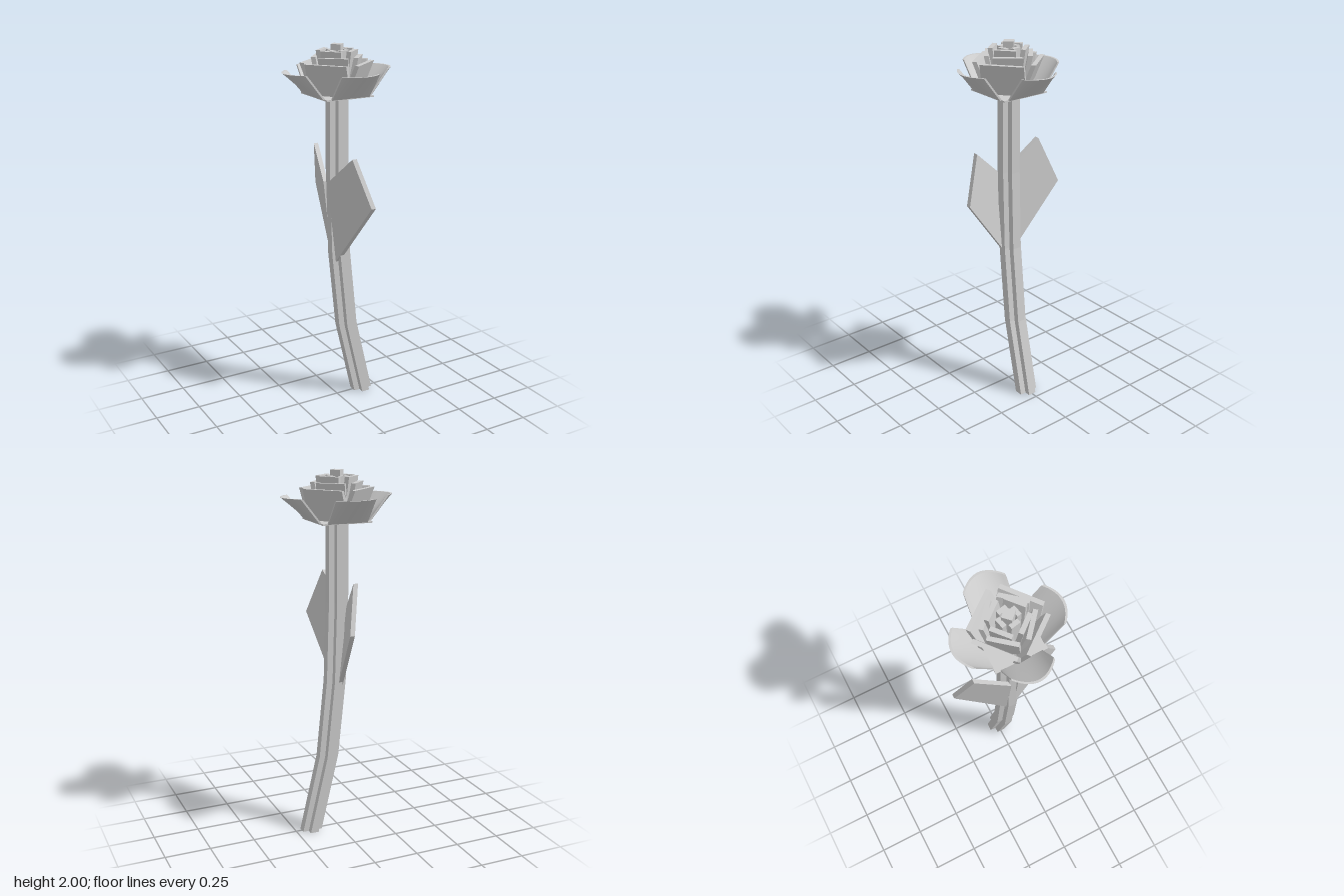
import * as THREE from 'three';

const material = new THREE.MeshStandardMaterial({ color: 0xcccccc, flatShading: true });
const smooth = new THREE.MeshStandardMaterial({ color: 0xcccccc });
const BASE = 1.74; // height where the bloom starts

function addMesh(parent, name, geometry, mat = material) {
  const mesh = new THREE.Mesh(geometry, mat);
  mesh.name = name;
  parent.add(mesh);
  return mesh;
}

function polygon(points) {
  return new THREE.Shape(points.map(([x, y]) => new THREE.Vector2(x, y)));
}

// Move every vertex of a geometry by a rule
function warp(geometry, rule) {
  const p = geometry.attributes.position;
  const v = new THREE.Vector3();
  for (let i = 0; i < p.count; i++) {
    rule(v.fromBufferAttribute(p, i));
    p.setXYZ(i, v.x, v.y, v.z);
  }
  geometry.computeVertexNormals();
  return geometry;
}

// Cross-shaped stem, bent sideways towards the foot
function stem() {
  const a = 0.056, b = 0.023;
  const cross = polygon([[a, -b], [a, b], [b, b], [b, a], [-b, a], [-b, b],
    [-a, b], [-a, -b], [-b, -b], [-b, -a], [b, -a], [b, -b]]);
  const bend = [0.16, 0.058, 0.013, 0, 0];
  const g = new THREE.ExtrudeGeometry(cross, { depth: BASE, steps: 4, bevelEnabled: false });
  g.rotateX(-Math.PI / 2);
  return warp(g, v => { v.x += bend[Math.round(v.y / BASE * 4)]; });
}

// Flat leaf in the y-z plane, tilted in x as it leaves the stem
function leaf(side) {
  const outline = polygon([[0.02, 0.82], [0.30, 1.19], [0.205, 1.44], [0.02, 1.275]]);
  const g = new THREE.ExtrudeGeometry(outline, { depth: 0.026, bevelEnabled: false });
  g.translate(0, 0, -0.013);
  g.rotateY(-Math.PI / 2); // outline x becomes z
  if (side < 0) g.rotateY(Math.PI);
  return warp(g, v => { v.x += 0.077 + 0.337 * Math.abs(v.z) - 0.112 * v.y; });
}

// Outer petal: straight at the base, curved along the rim
function outerPetal(rimSide, rimMiddle) {
  const w = 0.11;
  const g = new THREE.BoxGeometry(2 * w, 0.13, 0.012, 16, 1, 1);
  return warp(g, v => {
    const t = v.y > 0 ? 1 : 0;
    const rim = rimMiddle - (rimMiddle - rimSide) * (v.x / w) ** 2;
    v.z += (t ? rim : 0.142) - 0.006;
    v.y = BASE + t * 0.13;
  });
}

// Leaning slab whose outer face runs from radius r0 at the base to r1 at the top
function slab(r0, r1, halfWidth, top, thickness) {
  const profile = polygon([[r0 - thickness, BASE], [r0, BASE], [r1, top], [r1 - thickness, top]]);
  const g = new THREE.ExtrudeGeometry(profile, { depth: 2 * halfWidth, bevelEnabled: false });
  return g.translate(0, 0, -halfWidth);
}

export function createModel() {
  const model = new THREE.Group();
  model.name = 'flower';
  addMesh(model, 'stem', stem());
  for (const side of [1, -1]) addMesh(model, side > 0 ? 'frontLeaf' : 'backLeaf', leaf(side));

  const bloom = new THREE.Group();
  bloom.name = 'bloom';
  model.add(bloom);
  addMesh(bloom, 'basePlate', new THREE.BoxGeometry(0.276, 0.008, 0.276)).position.y = BASE;

  for (let i = 0; i < 4; i++) {
    const g = i % 2 ? outerPetal(0.245, 0.308) : outerPetal(0.242, 0.29);
    addMesh(bloom, 'outerPetal', g, smooth).rotation.y = i * Math.PI / 2;
  }

  // Rings of inner petals: angle, base radius, top radius, half width, top height
  const rings = [
    [38.7, 0.095, 0.162, 0.112, 1.91],
    [50, 0.08, 0.122, 0.076, 1.94],
    [40, 0.065, 0.096, 0.055, 1.97],
    [12, 0.05, 0.056, 0.026, 1.97],
  ];
  for (const [angle, r0, r1, halfWidth, top] of rings) {
    const g = slab(r0, r1, halfWidth, top, 0.024);
    for (let i = 0; i < 4; i++) {
      addMesh(bloom, 'innerPetal', g).rotation.y = THREE.MathUtils.degToRad(angle + 90 * i);
    }
  }

  // Bud at the centre
  const bud = addMesh(bloom, 'bud', new THREE.BoxGeometry(0.053, 2 - BASE, 0.053));
  bud.position.y = (2 + BASE) / 2;
  bud.rotation.y = Math.PI / 4;
  return model;
}
